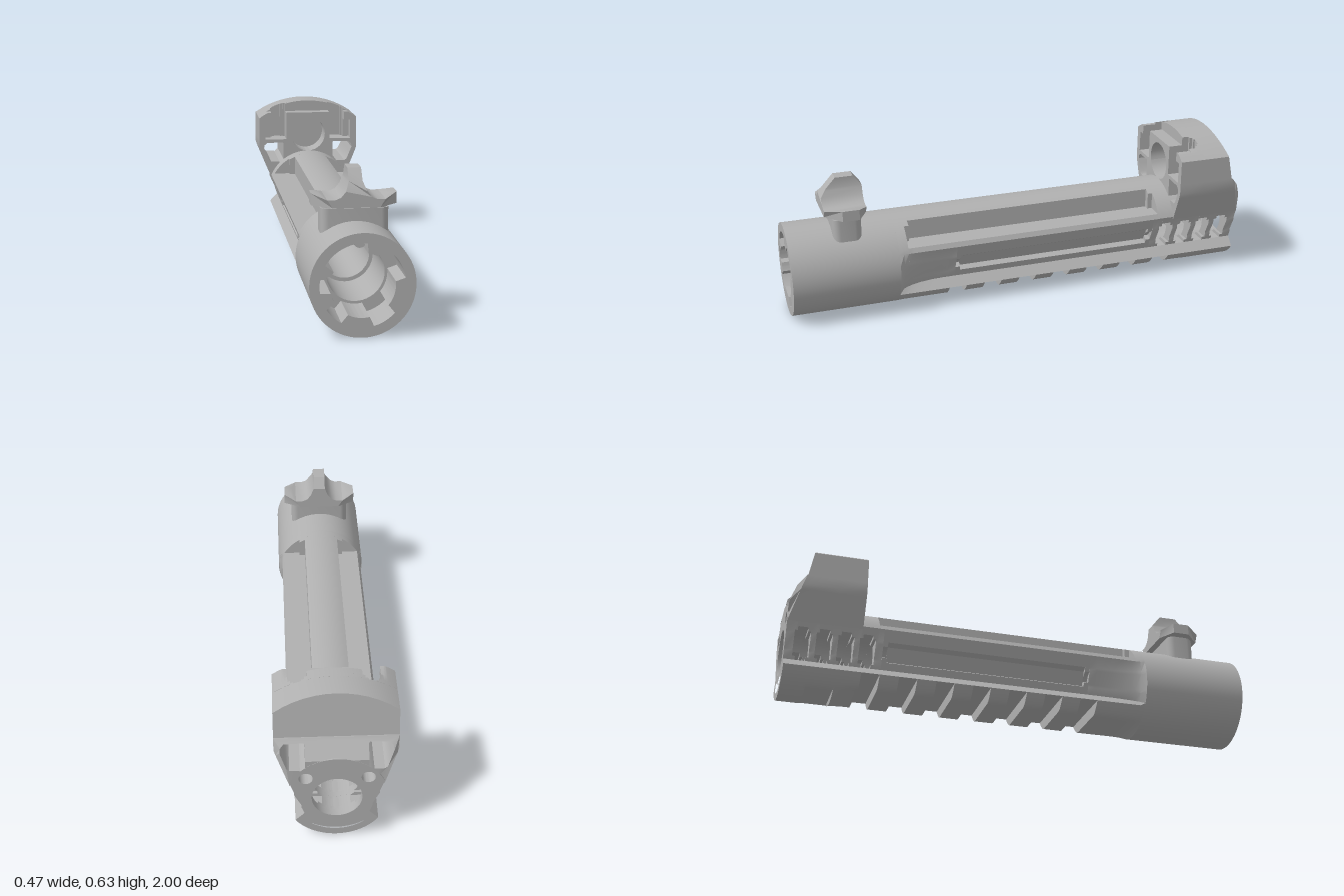
import * as THREE from 'three';
import { mergeGeometries, toCreasedNormals } from 'three/addons/utils/BufferGeometryUtils.js';

const CY = 0.2, R = 0.198, BORE = 0.097, RAD = Math.PI / 180;
const grey = new THREE.MeshStandardMaterial({ color: 0xb0b0b0 });
grey.name = 'plain grey';

// Points on an arc, angles in degrees
function arc(cx, cy, r, a0, a1, n = 16) {
  return Array.from({ length: n + 1 }, (_, i) => {
    const a = (a0 + (a1 - a0) * i / n) * RAD;
    return [cx + r * Math.cos(a), cy + r * Math.sin(a)];
  });
}
const mirror = pts => pts.map(([x, y]) => [-x, y]).reverse();
const v2 = pts => pts.map(([x, y]) => new THREE.Vector2(x, y));

// Extrude an outline from z0 to z1, optionally moving vertices by a rule
function ext(pts, z0, z1, holes = [], rule) {
  const shape = new THREE.Shape(v2(pts));
  shape.holes = holes.map(h => new THREE.Path(v2(h)));
  const g = new THREE.ExtrudeGeometry(shape, { depth: z1 - z0, bevelEnabled: false });
  g.translate(0, 0, z0);
  return rule ? bend(g, rule) : g;
}
function bend(g, rule) {
  const p = g.attributes.position, v = new THREE.Vector3();
  for (let i = 0; i < p.count; i++) {
    v.fromBufferAttribute(p, i);
    rule(v);
    p.setXYZ(i, v.x, v.y, v.z);
  }
  return g;
}
function part(name, geos) {
  const g = toCreasedNormals(mergeGeometries(geos), 0.5);
  const m = new THREE.Mesh(g, grey);
  m.name = name;
  return m;
}

// ---- Long body: cross-section chosen by z, cut into slices at every change
const wallX = y => 0.125 + (y - 0.12) * 0.35;
const inside = (z, a, b) => z > a && z < b;
const notches = Array.from({ length: 7 }, (_, i) => [0.257 - 0.157 * i, 0.333 - 0.157 * i]);
const vents = Array.from({ length: 4 }, (_, i) => [-0.698 - 0.089 * i, -0.632 - 0.089 * i]);

function bodySlice(z0, z1) {
  const z = (z0 + z1) / 2;
  const pocket = inside(z, -0.62, 0.51) ? (inside(z, -0.6, 0.49) ? 0.075 : 0.1) : 0;
  const groove = inside(z, -0.6, 0.3) ? (inside(z, -0.58, 0.28) ? 0.04 : 0.022) : 0;
  const bottom = notches.some(n => inside(z, ...n)) ? 0.083
    : z > -0.785 ? 0.035 : z > -0.9 ? 0.025 : 0;
  const vent = vents.find(n => inside(z, ...n));

  // right half: crown, fluted pocket, leaning wall, rail flare, underside
  const upper = pocket
    ? [...arc(0, CY, R, 90, Math.acos(pocket / R) / RAD, 6), [pocket, 0.3], [0.171, 0.3], [0.181, 0.28]]
    : arc(0, CY, R, 90, 24, 14);
  const g0 = 0.19 - (groove || 0.04), g1 = 0.19 + (groove || 0.04), d = groove ? 0.022 : 0;
  const wall = [[wallX(g1), g1], [wallX(g1) - d, g1 - 0.012], [wallX(g0) - d, g0 + 0.012], [wallX(g0), g0]];
  const lower = [[0.125, 0.12], ...arc(0, CY, 1, -36, -90, 12).map(([x, y]) => {
    const s = Math.min(R, (CY - bottom) / (CY - y));
    return [x * s, CY + (y - CY) * s];
  })];
  const pockets = z < -0.86 ? [1, -1].map(s => arc(s * 0.119, 0.302, 0.027, 0, 345, 23)) : [];
  const crescent = z < -0.9
    ? [[...arc(0, CY, 0.13, 232, 308), ...arc(0, CY, 0.168, 308, 232)]] : [];

  if (!vent) {
    const half = [...upper, ...wall, ...lower];
    return [ext([...half, ...mirror(half).slice(1, -1)], z0, z1,
      [arc(0, CY, BORE, 0, 352.5, 47), ...pockets, ...crescent], bodyRule)];
  }
  // vent slots open the wall into the bore; ends are rounded by shorter slices
  const edge = Math.min(z - vent[0], vent[1] - z) < 0.014;
  const yT = edge ? 0.235 : 0.25, yB = edge ? 0.135 : 0.12;
  const aT = Math.asin((yT - CY) / BORE) / RAD, aB = Math.asin((yB - CY) / BORE) / RAD;
  const top = [...upper, [wallX(yT), yT]], low = [[wallX(yB), yB], ...lower.slice(edge ? 0 : 1)];
  return [
    ext([...top, ...arc(0, CY, BORE, aT, 180 - aT, 24), ...mirror(top).slice(0, -1)], z0, z1, pockets, bodyRule),
    ext([...low, ...mirror(low).slice(1), ...arc(0, CY, BORE, 180 - aB, 360 + aB, 24)], z0, z1, crescent, bodyRule)
  ];
}
// Sweep the recessed flanks and the rail out to the full round at their ends
function bodyRule(v) {
  const r = Math.hypot(v.x, v.y - CY);
  if (r < 0.112 || v.y > 0.281) return;
  let f = 0;
  if (v.z > 0.35) f = 1 - Math.sqrt(Math.max(0, 1 - ((v.z - 0.35) / 0.2) ** 2));
  else if (v.z < -0.69 && v.z > -0.7851 && v.y < 0.084) f = (-0.69 - v.z) / 0.095;
  const k = (r + (R - r) * f) / r;
  v.x *= k;
  v.y = CY + (v.y - CY) * k;
}
function body() {
  const cuts = [-1, -0.9, -0.86, -0.785, -0.69, -0.62, -0.6, -0.58, 0.28, 0.3, 0.35, 0.4, 0.45,
    0.49, 0.51, 0.53, 0.55, ...notches.flat(),
    ...vents.flatMap(([a, b]) => [a, a + 0.012, b - 0.012, b])].sort((a, b) => a - b);
  const geos = [];
  for (let i = 1; i < cuts.length; i++)
    if (cuts[i] - cuts[i - 1] > 0.0005) geos.push(...bodySlice(cuts[i - 1], cuts[i]));
  return part('flutedBody', geos);
}

// ---- Front sleeve with a lobed socket
function sleeve() {
  const round = arc(0, CY, R, 0, 355, 71);
  const lobes = [[8, 60], [84, 150], [163, 191], [212, 240], [285, 320]];
  const socket = [];
  for (let a = 0; a < 360; a += 3) {
    const r = lobes.some(([p, q]) => a >= p && a <= q) ? 0.16 : 0.122;
    socket.push([r * Math.cos(a * RAD), CY + r * Math.sin(a * RAD)]);
  }
  return part('frontSleeve', [
    ext(round, 0.55, 0.82, [arc(0, CY, 0.112, 0, 352.5, 47)]),
    ext(round, 0.82, 1, [socket])
  ]);
}

// ---- Front post on its stem
function frontPost(group) {
  const stem = [...arc(0.1, -0.72, 0.03, 0, 90, 6), ...arc(-0.1, -0.72, 0.03, 90, 180, 6),
    ...arc(-0.1, -0.78, 0.03, 180, 270, 6), ...arc(0.1, -0.78, 0.03, 270, 360, 6)];
  const pillar = ext(stem, 0.335, 0.447).rotateX(-Math.PI / 2);
  const neck = ext(stem.map(([x, y]) => [x * 0.96, -0.75 + (y + 0.75) * 0.92]), 0.44, 0.46).rotateX(-Math.PI / 2);
  group.add(part('postStem', [pillar, neck]));
  const half = [[0.026, 0.596], [0.026, 0.552], [0.03, 0.543], [0.04, 0.517], [0.058, 0.495], [0.08, 0.486],
    [0.11, 0.486], [0.13, 0.497], [0.163, 0.5], [0.163, 0.455], [0.09, 0.455]];
  const head = ext([...half, ...mirror(half)], 0.665, 0.84, [], v => {
    const mid = Math.abs(v.x) > 0.12 ? [0.705, 0.775] : v.y > 0.59 ? [0.7, 0.775]
      : v.y > 0.54 ? [0.665, 0.815] : [0.665, 0.84];
    v.z = THREE.MathUtils.clamp(v.z, ...mid);
  });
  group.add(part('postHead', [head]));
}

// ---- Rear block: domed upper band with channels, lower band with side openings
const dome = x => 0.223 + Math.sqrt(0.1697 - x * x);
function crown(x0, x1, cap) {
  return Array.from({ length: 13 }, (_, i) => {
    const x = x1 + (x0 - x1) * i / 12;
    return [x, Math.min(dome(x), cap)];
  });
}
function rearBlock(group) {
  const base = 0.455, upper = [], lower = [];
  const archOver = arc(0, 0.48, 0.083, 197.5, -17.5, 24);
  for (const [z0, z1, xi, xo, cap] of [[-0.75, -0.69, 0.105, 0.178, 0.585],
    [-0.78, -0.75, 0.105, 0.178, 1], [-0.793, -0.78, 0.115, 0.168, 1], [-0.8, -0.793, 0.127, 0.156, 1]]) {
    upper.push(ext([[xi, base], ...crown(-xi, xi, cap), [-xi, base], ...archOver], z0, z1));
    const side = cap < 1 ? [[xo, 0.545], [0.208, 0.545], [0.208, base]] : [[xo, base]];
    const flank = [[0.237, base], ...crown(xo, 0.237, cap), ...side];
    upper.push(ext(flank, z0, z1), ext(mirror(flank), z0, z1));
  }
  upper.push(ext([[0.237, base], ...crown(-0.237, 0.237, 1), [-0.237, base]], -0.92, -0.8, [], v => {
    if (v.z < -0.9) v.z = -0.9 - (0.635 - v.y) / 0.18 * 0.035;
  }));
  group.add(part('rearBlockCrown', upper));

  // sloping rear edge with clipped corners
  const rear = v => {
    if (v.z > -0.99) return;
    v.z = Math.max(-1 + Math.max(0, v.y - 0.39) * 0.95, -1 + Math.max(0, Math.abs(v.x) - 0.19));
  };
  const edge = [[0.237, base], [0.237, 0.41], [0.23, 0.39], [0.206, 0.39], [0.215, 0.412], [0.213, 0.427],
    [0.2, 0.438], [0.125, 0.44], [0.12, 0.435], [0.12, 0.39]];
  const band = [...edge, ...mirror(edge)];
  lower.push(ext(band, -1, -0.8, [], rear));
  lower.push(ext([...band, ...arc(0, 0.48, 0.083, 197.5, 342.5, 16)], -0.8, -0.69));
  const cheek = [[0.18, 0.268], [0.23, 0.39], [0.206, 0.39], [0.191, 0.354], [0.18, 0.345], [0.158, 0.345],
    [0.14, 0.345], [0.15, 0.3]];
  lower.push(ext(cheek, -1, -0.69, [], rear), ext(mirror(cheek), -1, -0.69, [], rear));
  lower.push(ext([[0.12, 0.34], [0.12, 0.39], [-0.12, 0.39], [-0.12, 0.34]], -0.999, -0.69));
  group.add(part('rearBlockBase', lower));
}

export function createModel() {
  const group = new THREE.Group();
  group.name = 'flutedTube';
  group.add(body(), sleeve());
  frontPost(group);
  rearBlock(group);
  // locking pin in the socket
  const pin = new THREE.Mesh(new THREE.CylinderGeometry(0.024, 0.024, 0.1, 20).rotateX(Math.PI / 2), grey);
  pin.name = 'lockingPin';
  pin.position.set(0, 0.346, 0.87);
  group.add(pin);
  return group;
}
